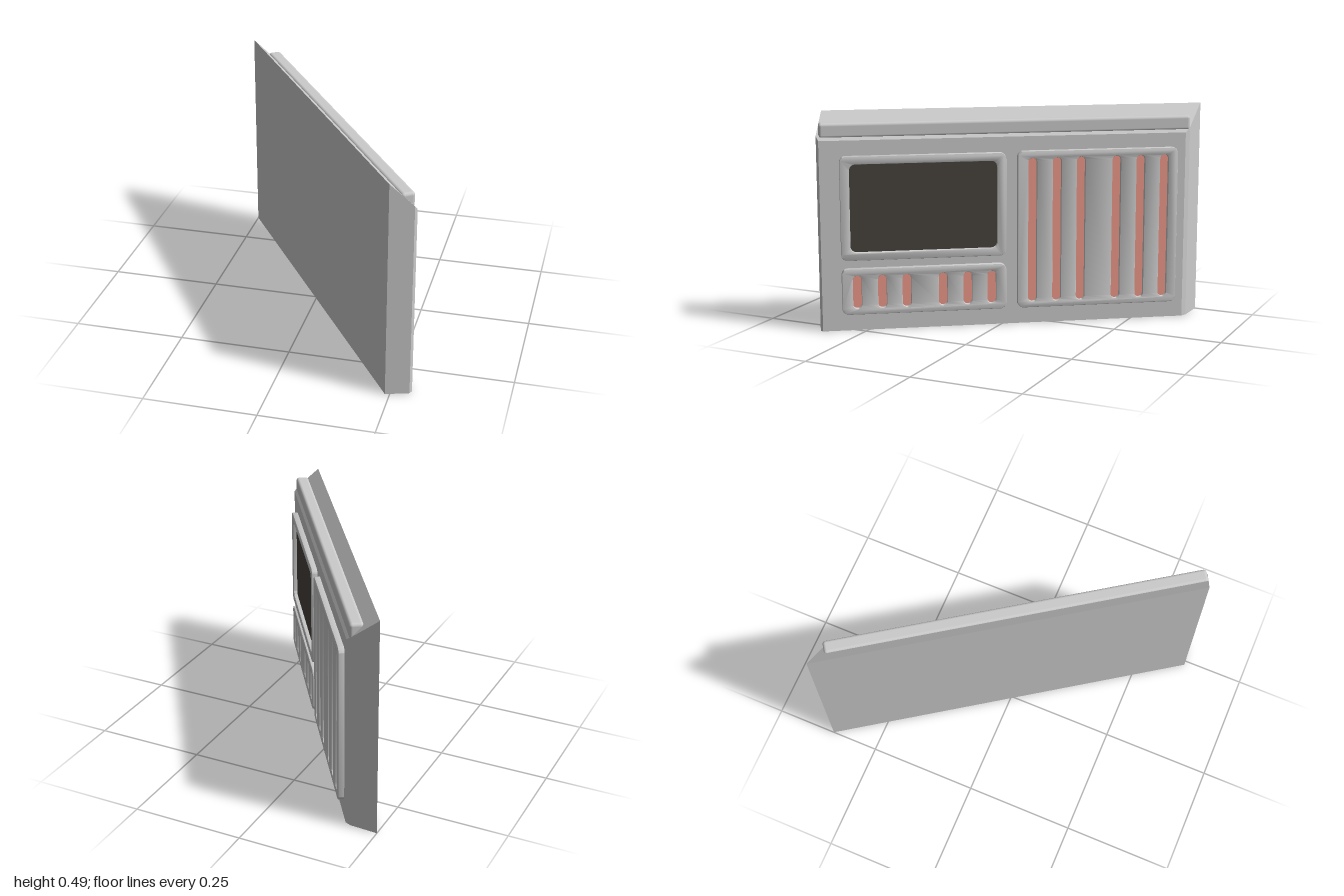
import * as THREE from 'three';
import { ConvexGeometry } from 'three/addons/geometries/ConvexGeometry.js';
import { RoundedBoxGeometry } from 'three/addons/geometries/RoundedBoxGeometry.js';
import { toCreasedNormals } from 'three/addons/utils/BufferGeometryUtils.js';

const grey = new THREE.MeshStandardMaterial({ color: 0xcccccc });
const dark = new THREE.MeshStandardMaterial({ color: 0x48423c });
const salmon = new THREE.MeshStandardMaterial({ color: 0xf0998a });

const FACE = 0.058; // depth of the housing's front face
const RIM = 0.071; // depth of the raised plates

// Closed rounded rectangle; u runs along the housing, away from local +x
function roundRect(path, u0, u1, y0, y1, r) {
  const x0 = -u1, x1 = -u0;
  path.moveTo(x0 + r, y0);
  path.lineTo(x1 - r, y0);
  path.absarc(x1 - r, y0 + r, r, -Math.PI / 2, 0);
  path.lineTo(x1, y1 - r);
  path.absarc(x1 - r, y1 - r, r, 0, Math.PI / 2);
  path.lineTo(x0 + r, y1);
  path.absarc(x0 + r, y1 - r, r, Math.PI / 2, Math.PI);
  path.lineTo(x0, y0 + r);
  path.absarc(x0 + r, y0 + r, r, Math.PI, Math.PI * 1.5);
  return path;
}

function plate(name, shape, from, to, material, bevel = 0) {
  const geo = new THREE.ExtrudeGeometry(shape, {
    depth: to - from - bevel, curveSegments: 6,
    bevelEnabled: bevel > 0, bevelSize: bevel, bevelThickness: bevel,
    bevelOffset: -bevel, bevelSegments: 2,
  });
  geo.translate(0, 0, from);
  const mesh = new THREE.Mesh(toCreasedNormals(geo, 0.6), material);
  mesh.name = name;
  return mesh;
}

// Raised plate with openings, each with a coloured inlay on its floor
function panel(name, outline, openings, inlayName, inlayMaterial) {
  const group = new THREE.Group();
  group.name = name;
  const shape = roundRect(new THREE.Shape(), ...outline, 0.014);
  for (const o of openings) {
    shape.holes.push(roundRect(new THREE.Path(), ...o));
    const inlay = roundRect(new THREE.Shape(), ...o);
    group.add(plate(inlayName, inlay, FACE - 0.004, FACE + 0.004, inlayMaterial));
  }
  group.add(plate(name + 'Plate', shape, FACE - 0.006, RIM, grey, 0.002));
  return group;
}

// Two groups of three upright slots
function slots(first, y0, y1) {
  return [0, 0.056, 0.111, 0.193, 0.249, 0.304].map((step) => {
    const u = first - step;
    return [u - 0.0098, u + 0.0098, y0, y1, 0.0095];
  });
}

export function createModel() {
  const model = new THREE.Group();
  model.name = 'wallPanel';
  const unit = new THREE.Group();
  unit.name = 'console';

  // Housing: back, shoulder and front outlines of [depth, u0, u1, top]
  const points = [];
  for (const [n, u0, u1, top] of [
    [0, 0, 0.871, 0.492],
    [0.05, 0.038, 0.886, 0.442],
    [FACE, 0.05, 0.881, 0.432],
  ]) {
    for (const u of [u0, u1]) {
      for (const y of [0, top]) points.push(new THREE.Vector3(-u, y, n));
    }
  }
  const housing = new THREE.Mesh(new ConvexGeometry(points), grey);
  housing.name = 'housing';
  unit.add(housing);

  // Rounded strip along the sloping top
  const strip = new THREE.Mesh(new RoundedBoxGeometry(0.842, 0.034, 0.03, 3, 0.007), grey);
  strip.name = 'topStrip';
  strip.position.set(-0.459, 0.453, 0.039);
  unit.add(strip);

  // Raised plates: screen, small vents, tall vents
  unit.add(
    panel('screenPanel', [0.466, 0.837, 0.163, 0.398], [[0.486, 0.816, 0.181, 0.38, 0.014]], 'screen', dark),
    panel('smallVentPanel', [0.466, 0.837, 0.039, 0.144], slots(0.803, 0.053, 0.128), 'smallVent', salmon),
    panel('tallVentPanel', [0.07, 0.44, 0.039, 0.4], slots(0.406, 0.053, 0.384), 'tallVent', salmon),
  );

  // Turned and set to one side
  unit.rotation.y = Math.atan2(0.827, -0.563);
  unit.position.set(-1, 0, -0.36);
  model.add(unit);
  return model;
}
